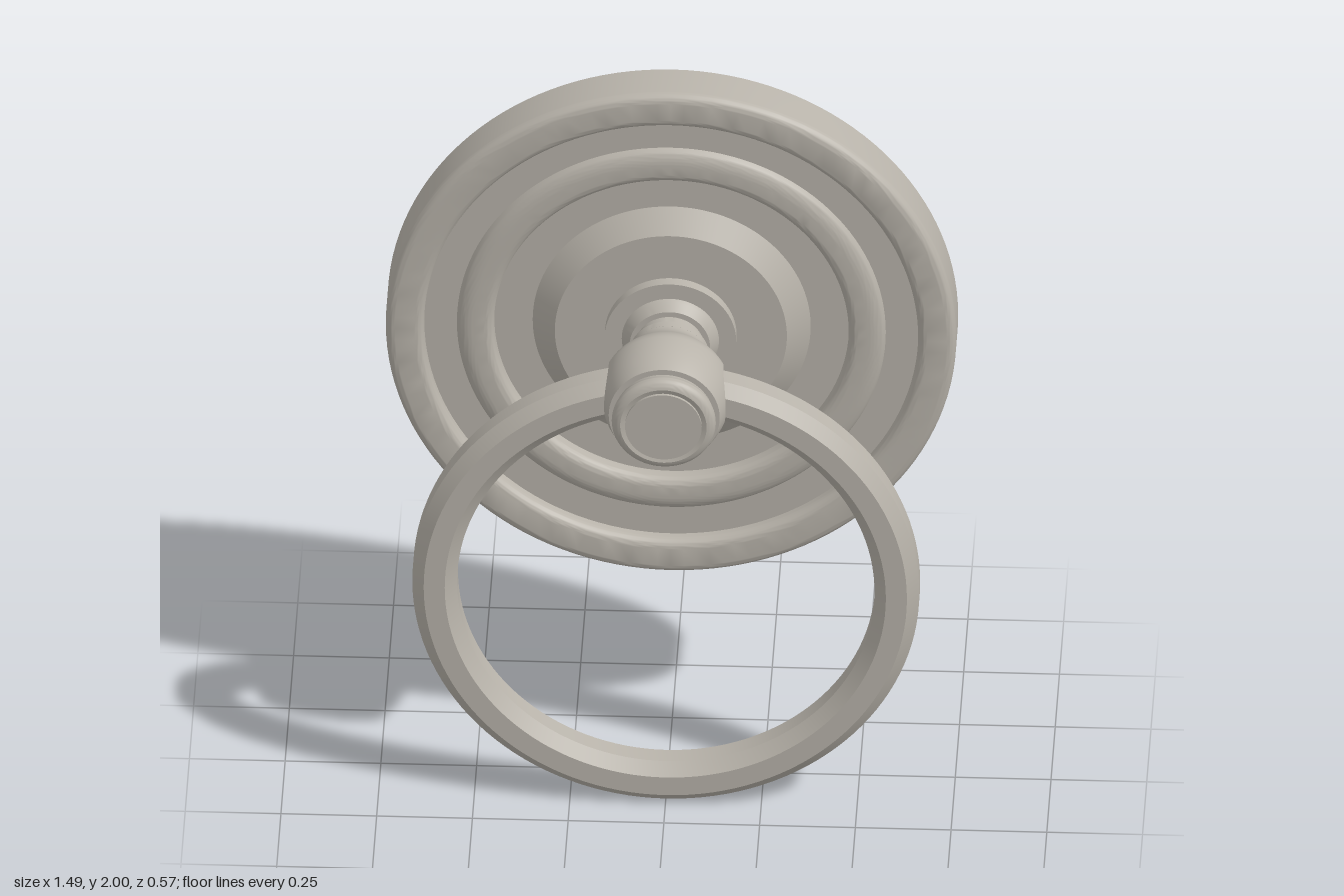
import * as THREE from 'three';
import { toCreasedNormals } from 'three/addons/utils/BufferGeometryUtils.js';
import { ParametricGeometry } from 'three/addons/geometries/ParametricGeometry.js';

const AXIS_Y = 1.257; // height of the plate and knob axis
const HOLE_Z = 0.11, HOLE_R = 0.08; // cross hole through the knob
const KNOB_BACK = -0.04, KNOB_FRONT = 0.23;

// Points on an elliptical arc in (radius, z), angles in degrees
function arc(cr, cz, rr, rz, from, to, n = 10) {
  return Array.from({ length: n + 1 }, (_, i) => {
    const a = THREE.MathUtils.degToRad(from + ((to - from) * i) / n);
    return [cr + rr * Math.cos(a), cz + rz * Math.sin(a)];
  });
}

// Turned part around the z axis; profile runs from back to front as [radius, z]
function turned(profile, segments = 96) {
  const lathe = new THREE.LatheGeometry(profile.map(([r, z]) => new THREE.Vector2(r, z)), segments);
  return toCreasedNormals(lathe.rotateX(Math.PI / 2), 0.5);
}

// Radius of the knob body along z
function knobRadius(z) {
  if (z < HOLE_Z) return 0.105 + 0.065 * THREE.MathUtils.smoothstep(z, KNOB_BACK, HOLE_Z);
  return 0.17 - 0.025 * ((z - HOLE_Z) / (KNOB_FRONT - HOLE_Z)) ** 2;
}

// Half of the knob body (+x side), spreading from the hole rim to its edges
function knobHalf(u, v, target) {
  const c = Math.cos(u * 2 * Math.PI), s = Math.sin(u * 2 * Math.PI);
  const rimZ = HOLE_Z + HOLE_R * c;
  const rimA = Math.asin((HOLE_R * s) / knobRadius(rimZ));
  const k = 1 / Math.max(Math.abs(c), Math.abs(s));
  const edgeZ = HOLE_Z + c * k * (c > 0 ? KNOB_FRONT - HOLE_Z : HOLE_Z - KNOB_BACK);
  const edgeA = (s * k * Math.PI) / 2;
  const z = THREE.MathUtils.lerp(rimZ, edgeZ, v);
  const a = THREE.MathUtils.lerp(rimA, edgeA, v);
  const r = knobRadius(z);
  target.set(r * Math.cos(a), r * Math.sin(a), z);
}

// Inside wall of the cross hole
function holeWall(u, v, target) {
  const y = HOLE_R * Math.sin(u * 2 * Math.PI);
  const z = HOLE_Z + HOLE_R * Math.cos(u * 2 * Math.PI);
  const x = Math.sqrt(knobRadius(z) ** 2 - y * y);
  target.set(x * (2 * v - 1), y, z);
}

export function createModel() {
  const group = new THREE.Group();
  const metal = new THREE.MeshStandardMaterial({ color: 0xb8b3aa });
  metal.name = 'brushed nickel';

  function add(name, geometry, y = AXIS_Y) {
    const mesh = new THREE.Mesh(geometry, metal);
    mesh.name = name;
    mesh.position.y = y;
    group.add(mesh);
    return mesh;
  }

  // Round back plate with rolled rim, inner bead and raised centre
  add('backPlate', turned([
    [0, -0.285], [0.745, -0.285],
    ...arc(0.72, -0.18, 0.025, 0.025, 0, 90),
    ...arc(0.67, -0.18, 0.025, 0.025, 90, 180),
    [0.645, -0.195], [0.56, -0.195],
    ...arc(0.515, -0.195, 0.045, 0.025, 30, 90),
    ...arc(0.49, -0.195, 0.027, 0.025, 90, 180),
    [0.463, -0.215], [0.363, -0.215],
    [0.303, -0.165], [0, -0.165],
  ], 128));

  // Stepped foot and neck joining the knob to the plate
  add('knobNeck', turned([
    [0, -0.17], [0.172, -0.17], [0.172, -0.135], [0.127, -0.135], [0.122, -0.125],
    [0.105, -0.105], [0.09, -0.105], [0.09, -0.062], [0.105, -0.062],
    [0.105, KNOB_BACK], [0, KNOB_BACK],
  ], 64));

  // Knob body with a cross hole for the ring
  const half = new ParametricGeometry(knobHalf, 96, 16);
  add('knobBodyLeft', half);
  add('knobBodyRight', half).rotation.z = Math.PI;
  add('knobHole', new ParametricGeometry(holeWall, 96, 2));

  // Beaded cap on the front of the knob
  add('knobCap', turned([
    [0, KNOB_FRONT - 0.01], [0.145, KNOB_FRONT - 0.01], [0.145, KNOB_FRONT], [0.13, KNOB_FRONT],
    ...arc(0.105, 0.255, 0.031, 0.024, -30, 75),
    [0.1, 0.274], [0.1, 0.282], [0, 0.282],
  ], 64));

  // Hanging ring with an eight-sided section
  const inner = 0.545, outer = 0.662, back = 0.05, front = 0.165, c = 0.031;
  add('pullRing', turned([
    [inner + c, back], [outer - c, back], [outer, back + c], [outer, front - c],
    [outer - c, front], [inner + c, front], [inner, front - c], [inner, back + c],
    [inner + c, back],
  ], 128), 0.662);

  return group;
}
